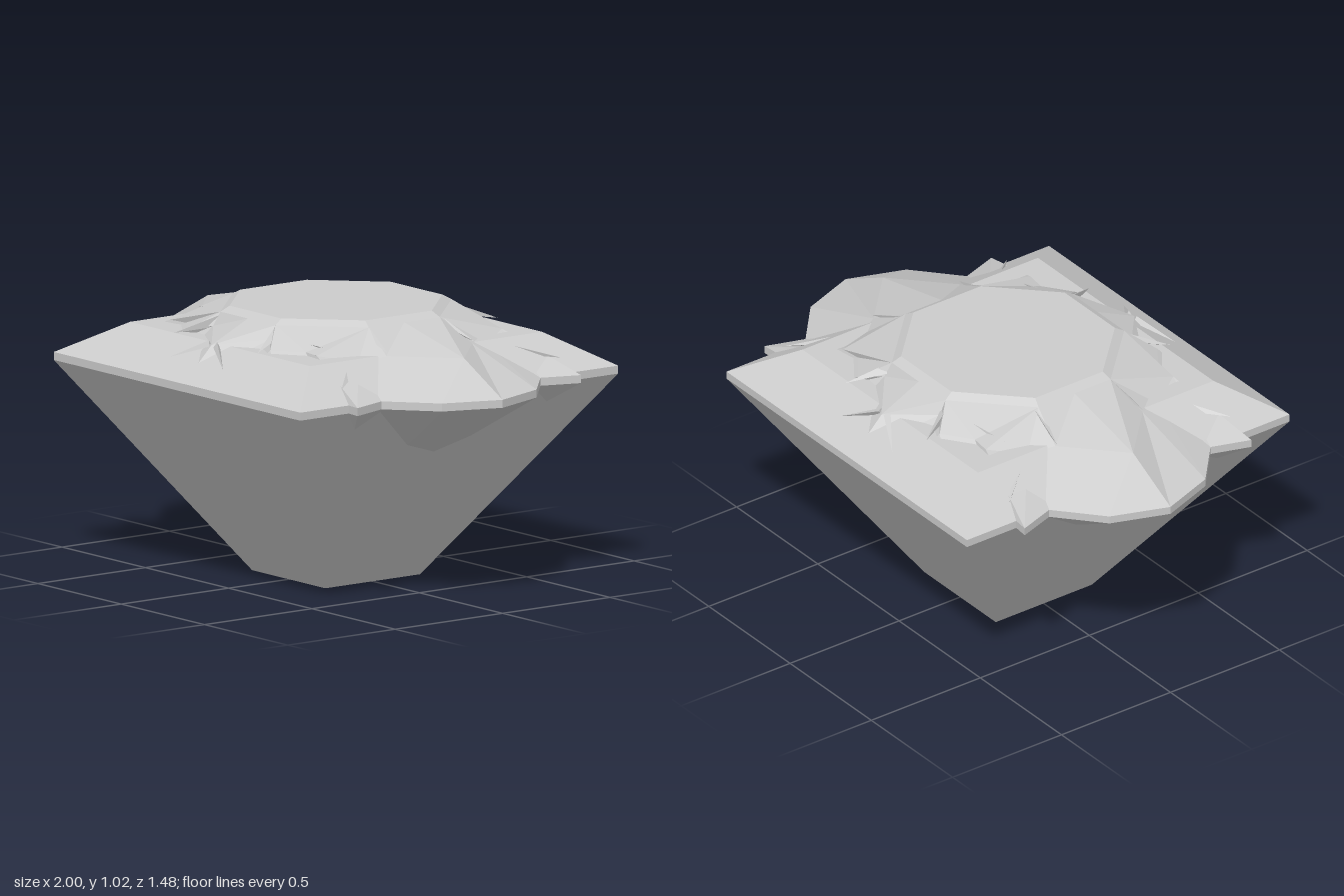
import * as THREE from 'three';

const material = new THREE.MeshStandardMaterial({ color: 0xcccccc, flatShading: true, side: THREE.DoubleSide });

// Joins rings of [x, y, z] points from bottom to top; optionally closes the ends.
function loft(name, rings, capBottom, capTop) {
  const pos = [];
  const tri = (...points) => points.forEach((p) => pos.push(...p));
  const n = rings[0].length;
  for (let r = 0; r < rings.length - 1; r++) {
    for (let i = 0; i < n; i++) {
      const j = (i + 1) % n, a = rings[r], b = rings[r + 1];
      tri(a[i], b[i], a[j]);
      tri(a[j], b[i], b[j]);
    }
  }
  const cap = (ring, up) => {
    const c = [0, ring[0][1], 0];
    ring.forEach((p, i) => {
      const q = ring[(i + 1) % n];
      if (up) tri(c, q, p); else tri(c, p, q);
    });
  };
  if (capBottom) cap(rings[0], false);
  if (capTop) cap(rings[rings.length - 1], true);
  const geo = new THREE.BufferGeometry();
  geo.setAttribute('position', new THREE.Float32BufferAttribute(pos, 3));
  geo.computeVertexNormals();
  const mesh = new THREE.Mesh(geo, material);
  mesh.name = name;
  return mesh;
}

const square = (s, y) => [[s, y, -s], [s, y, s], [-s, y, s], [-s, y, -s]];

// Mirrors one quadrant of [x, z, y] points into a closed ring.
function mirrored(quarter, y) {
  const last = quarter.length - 1;
  const at = (i, sx, sz) => [quarter[i][0] * sx, y ?? quarter[i][2], quarter[i][1] * sz];
  const ring = [];
  for (let i = 0; i <= last; i++) ring.push(at(i, 1, 1));
  for (let i = last - 1; i >= 0; i--) ring.push(at(i, -1, 1));
  for (let i = 1; i <= last; i++) ring.push(at(i, -1, -1));
  for (let i = last - 1; i >= 1; i--) ring.push(at(i, 1, -1));
  return ring;
}

// Thin three-sided splinter between two points.
function shard(a, b, radius) {
  const from = new THREE.Vector3(...a), dir = new THREE.Vector3(...b).sub(from);
  const mesh = new THREE.Mesh(new THREE.ConeGeometry(radius, dir.length(), 3), material);
  mesh.position.copy(from).addScaledVector(dir, 0.5);
  mesh.quaternion.setFromUnitVectors(new THREE.Vector3(0, 1, 0), dir.normalize());
  mesh.name = 'crownShard';
  return mesh;
}

export function createModel() {
  const group = new THREE.Group();
  group.name = 'cutGem';

  // Square-cut body, open at the bottom
  group.add(loft('squareBody',
    [square(0.22, 0), square(0.74, 0.77), square(0.74, 0.8), square(0.54, 0.92)], false, true));

  // Inner point seen through the open bottom
  group.add(loft('innerCulet', [square(0.028, 0.005), square(0.42, 0.32)], true, false));

  // Star-cut stone set through the body: girdle, crown ridge and table
  const girdle = [[1, 0], [0.92, 0.22], [0.75, 0.37], [0.8, 0.52], [0.6, 0.5], [0.45, 0.6], [0.2, 0.62], [0, 0.7]];
  const ridge = [[0.77, 0, 0.92], [0.56, 0.2, 0.92], [0.52, 0.3, 0.9], [0.44, 0.43, 0.93],
    [0.36, 0.42, 0.93], [0.25, 0.5, 0.93], [0.17, 0.44, 0.95], [0, 0.58, 0.92]];
  const table = (a, b) => [[a, 0], [a, b], [a, b], [a, b], [b, a], [b, a], [b, a], [0, a]];
  const apex = girdle.map(() => [0, 0]);
  group.add(loft('starStone', [
    mirrored(apex, 0.22), mirrored(girdle, 0.77), mirrored(girdle, 0.8),
    mirrored(ridge), mirrored(table(0.41, 0.165), 1.0), mirrored(table(0.375, 0.155), 1.02),
  ], false, true));

  // Splinters around the table
  const shards = [
    [[0.41, 0.98, 0.17], [0.57, 0.93, 0.2], 0.02],
    [[0.42, 0.97, 0.19], [0.43, 0.93, 0.43], 0.015],
    [[0.17, 0.97, 0.4], [0.25, 0.925, 0.56], 0.025],
    [[0.2, 0.96, 0.41], [0.45, 0.94, 0.35], 0.015],
    [[0.57, 0.88, 0.38], [0.69, 0.85, 0.51], 0.02],
    [[0.02, 0.92, 0.57], [0.16, 0.86, 0.65], 0.015],
  ];
  for (const sx of [1, -1]) {
    for (const sz of [1, -1]) {
      for (const [a, b, r] of shards) {
        const flip = ([x, y, z]) => [x * sx, y, z * sz];
        group.add(shard(flip(a), flip(b), r));
      }
    }
  }
  return group;
}
